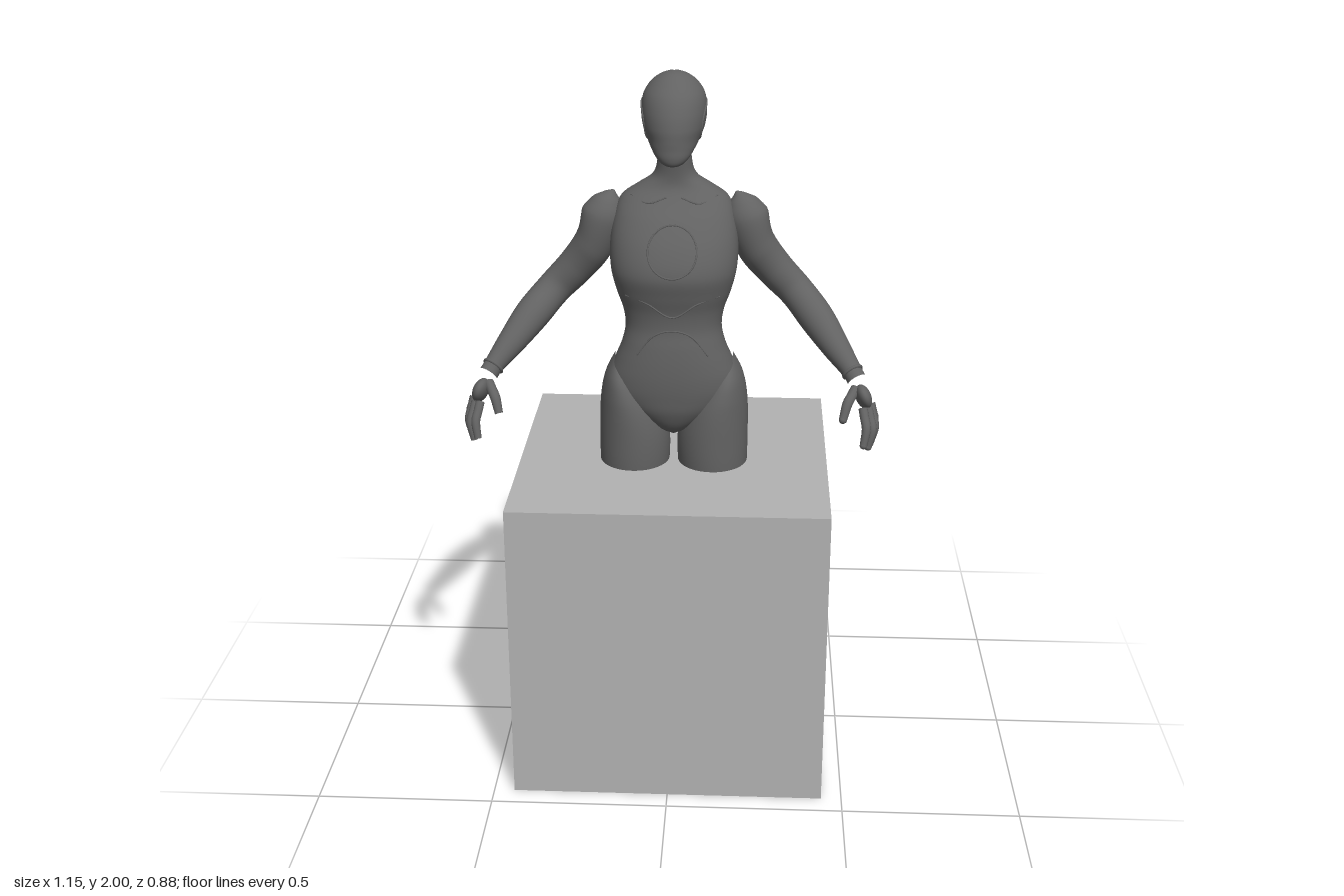
import * as THREE from 'three';

const bodyGrey = new THREE.MeshStandardMaterial({ color: 0x626262 });
bodyGrey.name = 'bodyGrey';
const blockGrey = new THREE.MeshStandardMaterial({ color: 0xb2b2b2 });
blockGrey.name = 'blockGrey';

// Smooth closed skin through rings of points; point(u, angle) returns a Vector3.
function skin(point, rings, sides) {
  const pos = [], index = [];
  for (let i = 0; i <= rings; i++) {
    for (let j = 0; j < sides; j++) pos.push(...point(i / rings, (j / sides) * Math.PI * 2).toArray());
  }
  for (let i = 0; i < rings; i++) {
    for (let j = 0; j < sides; j++) {
      const a = i * sides + j, b = i * sides + (j + 1) % sides;
      index.push(a, a + sides, b, b, a + sides, b + sides);
    }
  }
  const g = new THREE.BufferGeometry();
  g.setAttribute('position', new THREE.Float32BufferAttribute(pos, 3));
  g.setIndex(index);
  g.computeVertexNormals();
  return g;
}

// Cubic blend of profile rows keyed by their first value.
function sample(rows, y) {
  let k = 0;
  while (k < rows.length - 2 && y > rows[k + 1][0]) k++;
  const at = i => rows[Math.min(Math.max(i, 0), rows.length - 1)];
  const [p, a, b, q] = [at(k - 1), at(k), at(k + 1), at(k + 2)];
  const h = b[0] - a[0], t = (y - a[0]) / h;
  return a.map((v, i) => {
    const m0 = ((b[i] - p[i]) / (b[0] - p[0])) * h, m1 = ((q[i] - v) / (q[0] - a[0])) * h;
    return (2 * t ** 3 - 3 * t * t + 1) * v + (t ** 3 - 2 * t * t + t) * m0
      + (3 * t * t - 2 * t ** 3) * b[i] + (t ** 3 - t * t) * m1;
  });
}

// Upright form from rows of [y, centre x, half width, front z, back z].
function form(rows, side = 1, power = 2.2, rings = 64, sides = 48) {
  const y0 = rows[0][0], y1 = rows[rows.length - 1][0];
  const bend = v => Math.sign(v) * Math.abs(v) ** (2 / power);
  return skin((u, a) => {
    const [y, cx, w, f, b] = sample(rows, y0 + (y1 - y0) * u);
    return new THREE.Vector3(side * cx + w * bend(Math.cos(a)), y, (f + b) / 2 + ((f - b) / 2) * bend(Math.sin(a)));
  }, rings, sides);
}

// Tapered limb through points of [x, y, z, radius].
function limb(pts, side = 1, rings = 40, sides = 24) {
  const curve = new THREE.CatmullRomCurve3(pts.map(p => new THREE.Vector3(side * p[0], p[1], p[2])));
  const { normals, binormals } = curve.computeFrenetFrames(rings);
  const radii = pts.map((p, i) => [i / (pts.length - 1), p[3]]);
  return skin((u, a) => {
    const i = Math.round(u * rings), r = Math.max(sample(radii, u)[1], 0.001);
    return curve.getPoint(u).addScaledVector(normals[i], r * Math.cos(a)).addScaledVector(binormals[i], -r * Math.sin(a));
  }, rings, sides);
}

const torsoRows = [
  [0.97, 0, 0.01, 0.06, -0.02], [0.995, 0, 0.055, 0.105, -0.07], [1.05, 0, 0.14, 0.137, -0.1],
  [1.1, 0, 0.182, 0.147, -0.1], [1.15, 0, 0.183, 0.151, -0.09], [1.2, 0, 0.165, 0.15, -0.07],
  [1.25, 0, 0.145, 0.145, -0.052], [1.3, 0, 0.135, 0.137, -0.045], [1.35, 0, 0.142, 0.14, -0.052],
  [1.4, 0, 0.16, 0.153, -0.075], [1.46, 0, 0.175, 0.164, -0.1], [1.53, 0, 0.178, 0.142, -0.117],
  [1.6, 0, 0.168, 0.098, -0.119], [1.65, 0, 0.148, 0.055, -0.112], [1.68, 0, 0.105, 0.035, -0.096],
  [1.71, 0, 0.062, 0.031, -0.077], [1.76, 0, 0.047, 0.036, -0.06], [1.83, 0, 0.047, 0.04, -0.056],
];
const headRows = [
  [1.762, 0, 0.006, 0.122, 0.11], [1.767, 0, 0.024, 0.135, 0.09], [1.785, 0, 0.044, 0.142, 0.062],
  [1.81, 0, 0.061, 0.142, 0.005], [1.83, 0, 0.072, 0.142, -0.05], [1.86, 0, 0.084, 0.14, -0.083],
  [1.9, 0, 0.089, 0.129, -0.097], [1.94, 0, 0.083, 0.107, -0.09], [1.97, 0, 0.064, 0.076, -0.069],
  [1.99, 0, 0.038, 0.047, -0.038], [1.998, 0, 0.016, 0.026, -0.014], [2, 0, 0.002, 0.006, 0],
];
const legRows = [
  [0.05, 0.168, 0.028, 0.035, -0.045], [0.12, 0.165, 0.031, 0.03, -0.045], [0.32, 0.15, 0.055, 0.05, -0.075],
  [0.48, 0.137, 0.056, 0.08, -0.045], [0.6, 0.128, 0.07, 0.105, -0.05], [0.75, 0.117, 0.09, 0.138, -0.063],
  [0.89, 0.112, 0.1, 0.15, -0.07], [0.98, 0.113, 0.1, 0.15, -0.085], [1.05, 0.122, 0.09, 0.146, -0.106],
  [1.1, 0.135, 0.072, 0.137, -0.108], [1.15, 0.149, 0.045, 0.115, -0.085], [1.2, 0.156, 0.012, 0.06, -0.03],
];
const armPoints = [
  [0.17, 1.662, -0.03, 0.002], [0.185, 1.632, -0.03, 0.042], [0.2, 1.59, -0.028, 0.062], [0.228, 1.51, -0.028, 0.058],
  [0.282, 1.437, -0.04, 0.053], [0.345, 1.372, -0.032, 0.049], [0.402, 1.312, 0.025, 0.049],
  [0.455, 1.25, 0.09, 0.039], [0.498, 1.2, 0.14, 0.028], [0.512, 1.18, 0.158, 0.027],
];
// Thumb first, then the four fingers from front to back.
const fingers = [
  [[0.508, 1.165, 0.185], [0.485, 1.135, 0.225], [0.473, 1.095, 0.245]],
  [[0.528, 1.12, 0.222], [0.537, 1.075, 0.255], [0.53, 1.03, 0.27]],
  [[0.543, 1.115, 0.205], [0.555, 1.065, 0.234], [0.545, 1.015, 0.243]],
  [[0.552, 1.113, 0.188], [0.563, 1.065, 0.21], [0.552, 1.015, 0.215]],
  [[0.552, 1.118, 0.172], [0.563, 1.075, 0.185], [0.553, 1.035, 0.188]],
];

export function createModel() {
  const model = new THREE.Group();
  model.name = 'figureInBlock';
  const add = (name, geometry, material = bodyGrey) => {
    const mesh = new THREE.Mesh(geometry, material);
    mesh.name = name;
    model.add(mesh);
    return mesh;
  };
  const ball = (name, p, s) => {
    const mesh = add(name, new THREE.SphereGeometry(1, 28, 20));
    mesh.position.set(...p);
    mesh.scale.set(...s);
    return mesh;
  };
  // Raised panel line laid on the torso; face 1 is the chest, -1 the back.
  const seam = (name, pts, face, closed = false) => {
    const onSkin = pts.map(([x, y]) => {
      const [, , w, f, b] = sample(torsoRows, y);
      const k = (1 - Math.min(Math.abs(x) / w, 0.99) ** 2.2) ** (1 / 2.2);
      return new THREE.Vector3(x, y, (f + b) / 2 + face * ((f - b) / 2) * k);
    });
    add(name, new THREE.TubeGeometry(new THREE.CatmullRomCurve3(onSkin, closed), 48, 0.0025, 6, closed));
  };

  // Block the figure stands in
  add('block', new THREE.BoxGeometry(0.884, 0.888, 0.884), blockGrey).position.y = 0.444;

  // Head and trunk
  add('torso', form(torsoRows, 1, 2.2, 96, 64));
  add('head', form(headRows, 1, 2, 72));
  const ring = Array.from({ length: 24 }, (_, i) => {
    const a = (i / 24) * Math.PI * 2;
    return [0.067 * Math.cos(a), 1.53 + 0.067 * Math.sin(a)];
  });
  seam('chestRing', ring, 1, true);
  seam('ribLine', [[-0.13, 1.4], [-0.07, 1.385], [0, 1.345], [0.07, 1.385], [0.13, 1.4]], 1);
  seam('bellyLine', [[-0.1, 1.23], [-0.05, 1.29], [0, 1.305], [0.05, 1.29], [0.1, 1.23]], 1);
  seam('backPanel', [[-0.1, 1.42], [-0.12, 1.53], [-0.07, 1.6], [0, 1.615], [0.07, 1.6], [0.12, 1.53], [0.1, 1.42]], -1);
  seam('spineLine', [[0, 1.15], [0, 1.3], [0, 1.45]], -1);

  for (const s of [1, -1]) {
    const name = part => (s > 0 ? 'left' : 'right') + part;

    // Collar line and head side panel
    seam(name('Collar'), [[s * 0.02, 1.66], [s * 0.07, 1.645], [s * 0.12, 1.66]], 1);
    const panel = [[1.83, 0.06], [1.88, 0.07], [1.92, 0.02], [1.91, -0.05], [1.86, -0.06], [1.83, -0.02]].map(([y, z]) => {
      const [, , w, f, b] = sample(headRows, y);
      return new THREE.Vector3(s * w * Math.sqrt(Math.max(0, 1 - ((2 * z - f - b) / (f - b)) ** 2)), y, z);
    });
    add(name('EarPanel'), new THREE.TubeGeometry(new THREE.CatmullRomCurve3(panel, true), 48, 0.003, 6, true));

    // Leg, buttock and foot
    add(name('Leg'), form(legRows, s, 2, 72, 40));
    ball(name('Buttock'), [s * 0.075, 1.095, -0.045], [0.078, 0.085, 0.066]);
    ball(name('Foot'), [s * 0.172, 0.034, 0.04], [0.038, 0.034, 0.11]);

    // Arm, cuff and hand
    add(name('Arm'), limb(armPoints, s, 64, 32));
    const cuff = add(name('Cuff'), new THREE.TorusGeometry(0.027, 0.005, 8, 28));
    cuff.position.set(s * 0.5, 1.197, 0.142);
    cuff.lookAt(s * 0.53, 1.16, 0.182);
    const palm = ball(name('Palm'), [s * 0.53, 1.142, 0.188], [0.021, 0.035, 0.046]);
    palm.rotation.set(-0.45, 0, s * 0.4);
    fingers.forEach((f, i) => {
      const mid = f[0].map((v, k) => (v + f[1][k]) / 2);
      const r = i === 0 ? 0.014 : 0.0125;
      const radii = [r, r, r, r * 0.8];
      const pts = [f[0], mid, f[1], f[2]].map((p, k) => [...p, radii[k]]);
      add(name(i ? 'Finger' + i : 'Thumb'), limb(pts, s, 14, 12));
      ball(name('Fingertip' + i), f[2], [r * 0.8, r * 0.8, r * 0.8]);
    });
  }
  return model;
}
